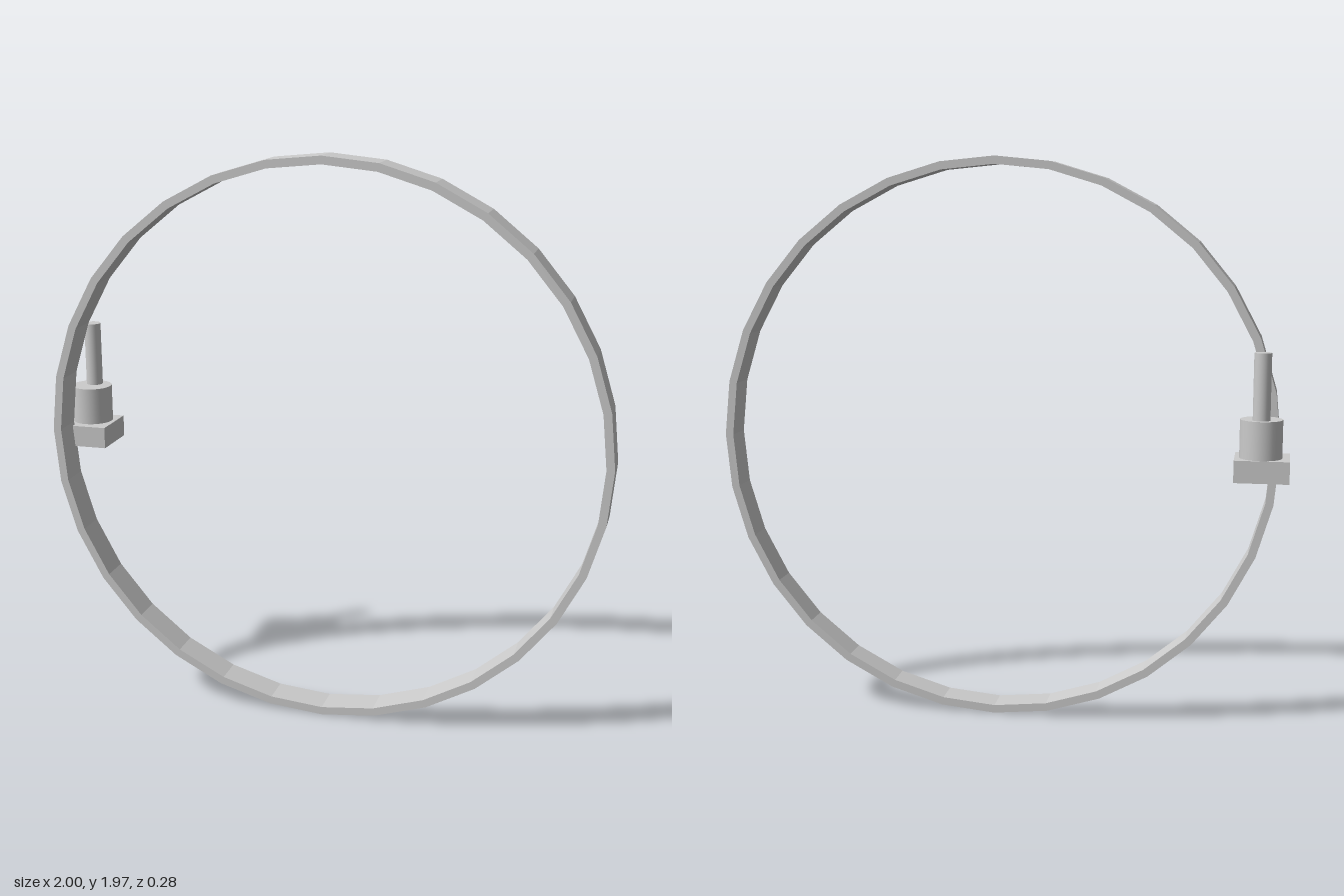
import * as THREE from 'three';

const material = new THREE.MeshStandardMaterial({ color: 0xcccccc });

// Regular polygon points for the faceted hoop
function polygon(radius, sides) {
  return Array.from({ length: sides }, (_, i) => {
    const a = (i / sides) * Math.PI * 2;
    return new THREE.Vector2(Math.cos(a) * radius, Math.sin(a) * radius);
  });
}

export function createModel() {
  const group = new THREE.Group();
  const add = (name, geometry, x, y, z) => {
    const mesh = new THREE.Mesh(geometry, material);
    mesh.name = name;
    mesh.position.set(x, y, z);
    group.add(mesh);
  };

  // Upright 32-sided hoop
  const outline = new THREE.Shape(polygon(0.984, 32));
  outline.holes.push(new THREE.Path(polygon(0.956, 32)));
  const hoop = new THREE.ExtrudeGeometry(outline, { depth: 0.112, bevelEnabled: false });
  add('hoop', hoop, 0.016, 0.984, 0.026);

  // Small bracket behind the hoop's edge: block, drum and off-centre pin
  add('baseBlock', new THREE.BoxGeometry(0.183, 0.075, 0.18), -0.908, 0.934, -0.048);
  add('drum', new THREE.CylinderGeometry(0.071, 0.071, 0.13, 32), -0.903, 1.036, -0.062);
  add('pin', new THREE.CylinderGeometry(0.029, 0.029, 0.224, 32), -0.903, 1.213, -0.088);

  return group;
}
